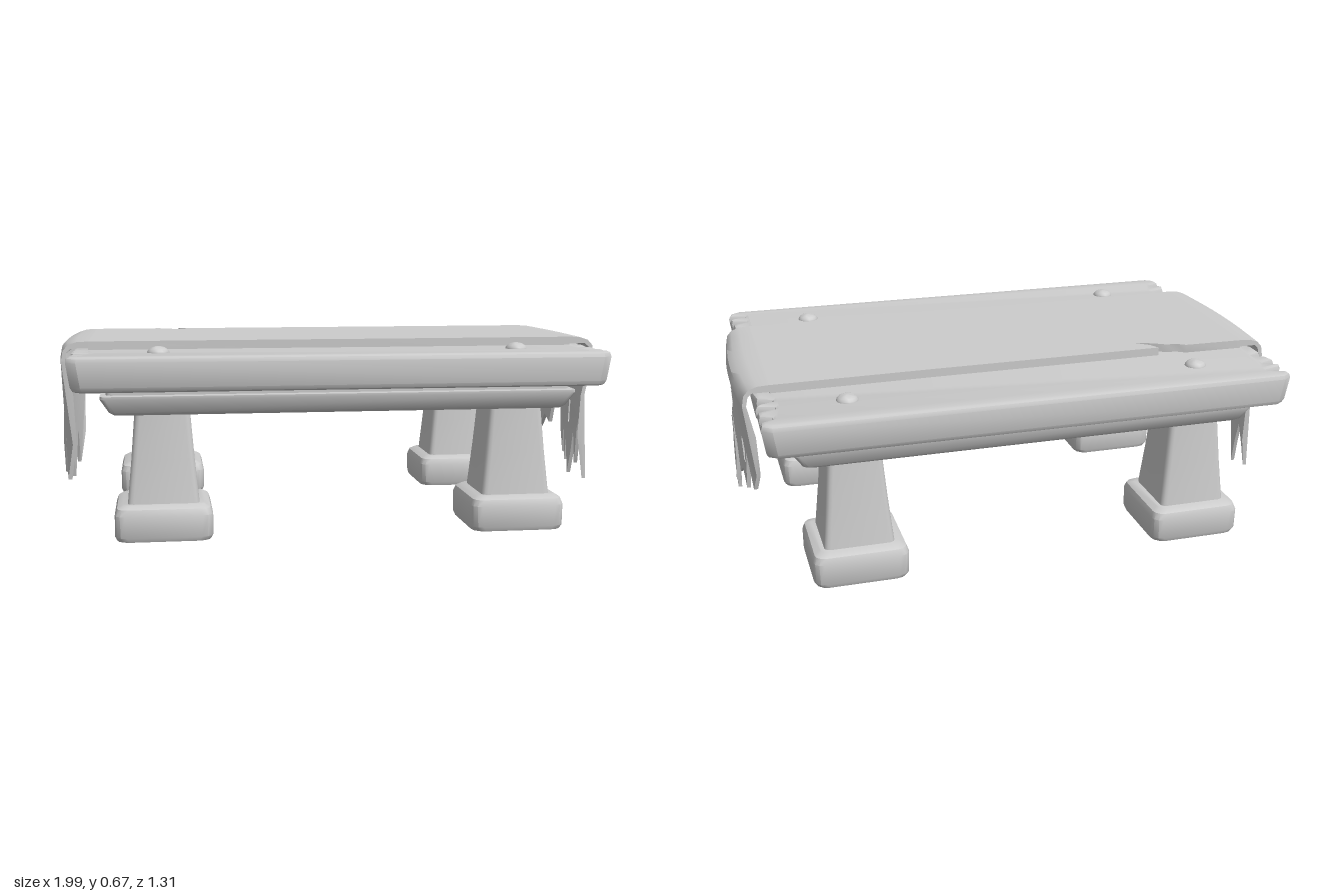
import * as THREE from 'three';
import { toCreasedNormals } from 'three/addons/utils/BufferGeometryUtils.js';

const material = new THREE.MeshStandardMaterial({ color: 0xcccccc });
const clothMaterial = new THREE.MeshStandardMaterial({ color: 0xcccccc, side: THREE.DoubleSide });
const clamp01 = (t) => THREE.MathUtils.clamp(t, 0, 1);
const toShape = (pts) => new THREE.Shape(pts.map(([x, y]) => new THREE.Vector2(x, y)));

function addMesh(parent, name, geometry, mat = material, crease = 0.6) {
  const mesh = new THREE.Mesh(toCreasedNormals(geometry, crease), mat);
  mesh.name = name;
  parent.add(mesh);
  return mesh;
}

// Move every vertex by a rule
function deform(geometry, rule) {
  const p = geometry.attributes.position;
  const v = new THREE.Vector3();
  for (let i = 0; i < p.count; i++) {
    v.fromBufferAttribute(p, i);
    rule(v);
    p.setXYZ(i, v.x, v.y, v.z);
  }
  return geometry;
}

// Closed stack of rounded rectangles; each ring is [y, halfX, halfZ, cornerRadius]
function loft(rings) {
  const pos = [], index = [], steps = 3, n = 4 * (steps + 1);
  for (const [y, hx, hz, r] of rings) {
    for (let q = 0; q < 4; q++) {
      const sx = q === 0 || q === 3 ? 1 : -1, sz = q < 2 ? 1 : -1;
      for (let s = 0; s <= steps; s++) {
        const a = (q + s / steps) * Math.PI / 2;
        pos.push(sx * (hx - r) + r * Math.cos(a), y, sz * (hz - r) + r * Math.sin(a));
      }
    }
  }
  for (let k = 0; k < rings.length - 1; k++) {
    for (let i = 0; i < n; i++) {
      const a = k * n + i, b = k * n + (i + 1) % n;
      index.push(a, a + n, b, b, a + n, b + n);
    }
  }
  const top = (rings.length - 1) * n;
  for (let i = 1; i < n - 1; i++) index.push(0, i, i + 1, top, top + i + 1, top + i);
  const g = new THREE.BufferGeometry();
  g.setAttribute('position', new THREE.Float32BufferAttribute(pos, 3));
  g.setIndex(index);
  return g.toNonIndexed();
}

// Worn slab with split, notched ends
function slabGeometry() {
  const cuts = [[-0.58, 0.06], [-0.51, 0.05], [-0.42, 0.04], [-0.3, 0.03], [-0.12, 0.04],
    [0.08, 0.03], [0.27, 0.04], [0.4, 0.05], [0.47, 0.06], [0.56, 0.04]];
  const end = (side) => {
    const pts = [[0.9, -0.655], [0.93, -0.635]];
    cuts.forEach(([z, depth], i) => {
      const x = 0.935 + 0.007 * Math.sin(i * 2.3 + side);
      pts.push([x, z - 0.024], [x - depth, z - 0.006], [x - depth, z + 0.006], [x, z + 0.024]);
    });
    pts.push([0.94, 0.625], [0.905, 0.65]);
    return pts.map(([x, z]) => [side * x, side * z]);
  };
  const g = new THREE.ExtrudeGeometry(toShape([...end(1), ...end(-1)]), {
    depth: 0.084, bevelThickness: 0.018, bevelSize: 0.016, bevelOffset: -0.016, bevelSegments: 2,
  });
  g.rotateX(-Math.PI / 2).translate(0, 0.538, 0);
  // The slab narrows slightly towards its underside
  return deform(g, (v) => {
    const t = clamp01((0.6 - v.y) / 0.08);
    v.x *= 1 - 0.018 * t;
    v.z *= 1 - 0.012 * t;
  });
}

// Outward swell of the cloth across its width
const bow = (z) => 0.02 * Math.cos(z * 4.6);

// Torn lower edges, as [z, y] from the +z side to the -z side
const tornEdges = {
  1: [[0.335, 0.45], [0.335, 0.3], [0.315, 0.13], [0.28, 0.24], [0.245, 0.35], [0.22, 0.3], [0.2, 0.21],
    [0.18, 0.165], [0.145, 0.29], [0.115, 0.2], [0.085, 0.11], [0.065, 0.24], [0.045, 0.155], [0.012, 0.27],
    [0, 0.18], [-0.02, 0.28], [-0.035, 0.48], [-0.065, 0.38], [-0.085, 0.37], [-0.1, 0.42], [-0.15, 0.28],
    [-0.185, 0.31], [-0.235, 0.25], [-0.265, 0.4], [-0.3, 0.27], [-0.32, 0.33], [-0.335, 0.48]],
  '-1': [[0.335, 0.48], [0.32, 0.3], [0.3, 0.17], [0.25, 0.32], [0.215, 0.24], [0.18, 0.18], [0.14, 0.3],
    [0.09, 0.16], [0.07, 0.26], [0.045, 0.17], [0.015, 0.28], [0, 0.2], [-0.035, 0.48], [-0.1, 0.41],
    [-0.14, 0.24], [-0.175, 0.095], [-0.205, 0.2], [-0.235, 0.28], [-0.27, 0.2], [-0.3, 0.13],
    [-0.315, 0.25], [-0.335, 0.45]],
};
const tears = {
  1: [[[0.095, 0.31], [0.098, 0.4], [0.085, 0.41], [0.08, 0.32]],
    [[-0.085, 0.58], [-0.08, 0.595], [-0.1, 0.594], [-0.105, 0.53], [-0.09, 0.53]],
    [[-0.215, 0.36], [-0.21, 0.44], [-0.235, 0.44], [-0.25, 0.4], [-0.235, 0.35]]],
  '-1': [[[0.2, 0.38], [0.205, 0.45], [0.188, 0.45], [0.185, 0.4]]],
};

function drapeGeometry(side) {
  const flat = ([z, y]) => [-side * z, y];
  const topEdge = Array.from({ length: 9 }, (_, i) => [-0.34 + 0.085 * i, 0.6]);
  const shape = toShape([...tornEdges[side], ...topEdge].map(flat));
  shape.holes = tears[side].map((h) => new THREE.Path(h.map((p) => new THREE.Vector2(...flat(p)))));
  const g = new THREE.ExtrudeGeometry(shape, { depth: 0.014, bevelEnabled: false });
  g.rotateY(side * Math.PI / 2);
  // Side edges curl inwards halfway down
  return deform(g, (v) => {
    const curl = 0.035 * Math.pow(Math.abs(v.z) / 0.34, 4) * Math.sin(Math.PI * clamp01((0.6 - v.y) / 0.5));
    const ripple = 0.008 * Math.sin(v.z * 24) * clamp01((0.6 - v.y) / 0.3);
    v.x += side * (0.961 + bow(v.z) - curl - Math.abs(ripple));
  });
}

// Rounded fold where the cloth turns over the end of the slab
function foldGeometry(side) {
  const profile = toShape([[0.88, 0.67], [0.92, 0.668], [0.95, 0.658], [0.968, 0.638], [0.975, 0.6],
    [0.961, 0.6], [0.954, 0.632], [0.94, 0.645], [0.88, 0.645]]);
  const g = new THREE.ExtrudeGeometry(profile, { depth: 0.68, steps: 8, bevelEnabled: false });
  g.translate(0, 0, -0.34);
  deform(g, (v) => { v.x += bow(v.z) * clamp01((v.x - 0.88) / 0.08); });
  return g.rotateY(side < 0 ? Math.PI : 0);
}

export function createModel() {
  const model = new THREE.Group();
  model.name = 'table';

  addMesh(model, 'tableTop', slabGeometry());

  // Stepped frame under the slab
  addMesh(model, 'underframe', loft([
    [0.43, 0.79, 0.525, 0.02], [0.44, 0.805, 0.54, 0.02], [0.488, 0.835, 0.56, 0.02],
    [0.498, 0.835, 0.56, 0.02], [0.5, 0.815, 0.535, 0.02], [0.525, 0.815, 0.535, 0.02],
  ]));

  // Four tapered legs on blocky feet, with a rivet above each
  for (const sx of [1, -1]) {
    for (const sz of [1, -1]) {
      const leg = new THREE.Group();
      leg.name = 'leg';
      leg.position.set(sx * 0.625, 0, sz * 0.425);
      addMesh(leg, 'foot', loft([
        [0, 0.162, 0.162, 0.045], [0.015, 0.168, 0.168, 0.04], [0.09, 0.168, 0.168, 0.035],
        [0.112, 0.16, 0.16, 0.035], [0.124, 0.14, 0.14, 0.03],
      ]));
      addMesh(leg, 'legShaft', loft([
        [0.115, 0.124, 0.124, 0.02], [0.28, 0.108, 0.109, 0.02], [0.44, 0.095, 0.097, 0.02],
      ]));
      model.add(leg);

      const rivet = addMesh(model, 'rivet', new THREE.SphereGeometry(0.039, 16, 10), material, 1);
      rivet.scale.y = 0.65;
      rivet.position.set(sx * 0.635, 0.637, sz * 0.472);
    }
  }

  // Cloth runner: flat sheet with one torn edge, end folds and hanging drapes
  const cloth = new THREE.Group();
  cloth.name = 'clothRunner';
  model.add(cloth);
  const sheet = toShape([[-0.88, -0.34], [-0.4, -0.336], [0.2, -0.343], [0.88, -0.34], [0.88, 0.34],
    [0.3, 0.335], [-0.55, 0.335], [-0.53, 0.3], [-0.48, 0.26], [-0.55, 0.285], [-0.59, 0.31],
    [-0.63, 0.315], [-0.66, 0.335], [-0.88, 0.34]]);
  const sheetGeometry = new THREE.ExtrudeGeometry(sheet, { depth: 0.03, bevelEnabled: false });
  sheetGeometry.rotateX(-Math.PI / 2).translate(0, 0.64, 0);
  addMesh(cloth, 'clothSheet', sheetGeometry, clothMaterial);
  for (const side of [1, -1]) {
    addMesh(cloth, 'clothFold', foldGeometry(side), clothMaterial);
    addMesh(cloth, 'clothDrape', drapeGeometry(side), clothMaterial);
  }
  return model;
}
